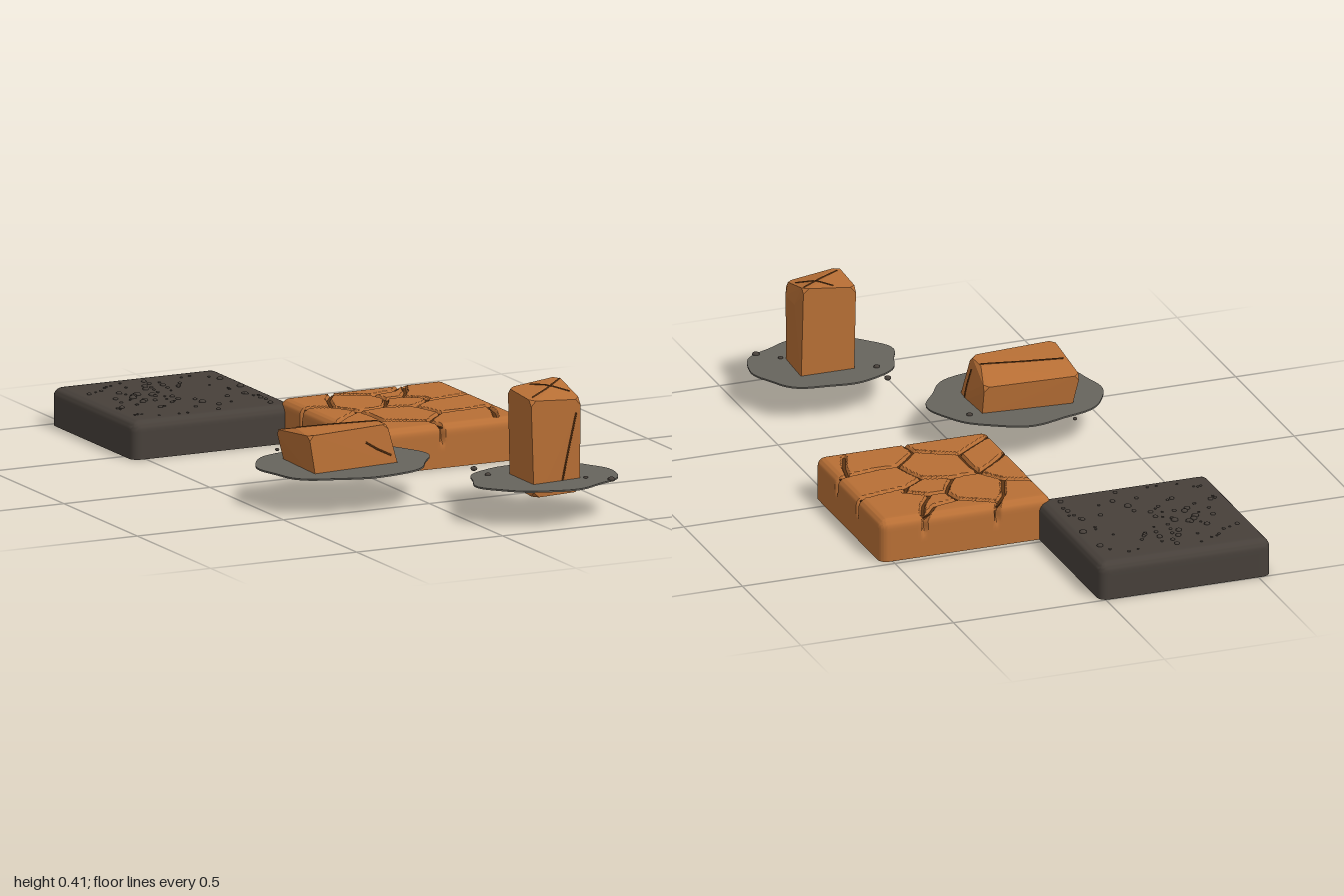
import * as THREE from 'three';
import { mergeVertices, toCreasedNormals, mergeGeometries } from 'three/addons/utils/BufferGeometryUtils.js';
import { ConvexGeometry } from 'three/addons/geometries/ConvexGeometry.js';

const material = (name, color) => {
  const m = new THREE.MeshStandardMaterial({ color });
  m.name = name;
  return m;
};

function seeded(seed) {
  return () => {
    seed = (seed * 16807) % 2147483647;
    return seed / 2147483647;
  };
}

const V = (p) => new THREE.Vector3(...p);
const SIZE = 0.563;
const RADIUS = 0.028;

// Distance from a point to a segment in the ground plane
function segmentDistance(x, z, [ax, az], [bx, bz]) {
  const dx = bx - ax, dz = bz - az;
  const t = THREE.MathUtils.clamp(((x - ax) * dx + (z - az) * dz) / (dx * dx + dz * dz), 0, 1);
  return Math.hypot(x - ax - dx * t, z - az - dz * t);
}

// Square slab, rounded except underneath, with V grooves along the given segments
function slabGeometry(height, segments, grooves = []) {
  let g = new THREE.BoxGeometry(SIZE, height, SIZE, segments, 14, segments);
  g.translate(0, height / 2, 0);
  g.deleteAttribute('normal');
  g.deleteAttribute('uv');
  g.clearGroups();
  g = mergeVertices(g, 1e-5);
  const pos = g.attributes.position;
  const p = new THREE.Vector3(), core = new THREE.Vector3(), n = new THREE.Vector3();
  const inner = SIZE / 2 - RADIUS;
  for (let i = 0; i < pos.count; i++) {
    p.fromBufferAttribute(pos, i);
    core.set(THREE.MathUtils.clamp(p.x, -inner, inner), Math.min(p.y, height - RADIUS),
      THREE.MathUtils.clamp(p.z, -inner, inner));
    n.subVectors(p, core);
    const length = Math.min(n.length(), RADIUS);
    n.normalize();
    p.copy(core).addScaledVector(n, length);
    const fade = THREE.MathUtils.smoothstep(p.y, 0.06, 0.1);
    if (fade > 0 && grooves.length) {
      const d = Math.min(...grooves.map(([a, b]) => segmentDistance(p.x, p.z, a, b)));
      p.addScaledVector(n, -0.02 * fade * Math.max(0, 1 - d / 0.009));
    }
    pos.setXYZ(i, p.x, p.y, p.z);
  }
  return toCreasedNormals(g, 0.7);
}

// Crack network on the slab, in hundredths measured from its back left corner
const CRACKS = [
  [[0, 15.5], [9, 19], [14, 26.5], [0, 39]],
  [[9, 19], [13, 8], [18, 0]],
  [[17, 3], [27.5, 9], [29, 15.5], [23, 25.5], [14, 26.5]],
  [[27.5, 9], [36, 7], [42, 0]],
  [[29, 15.5], [34.5, 15.5], [42, 2]],
  [[34.5, 15.5], [41, 20], [39, 23.5], [32, 28.5], [23, 25.5]],
  [[39, 23.5], [56.3, 20]],
  [[32, 28.5], [35.5, 40], [27, 49], [14.5, 42], [14, 26.5]],
  [[35.5, 40], [52.5, 38], [56.3, 38]],
  [[52.5, 38], [48, 53]],
  [[14.5, 42], [0, 53]],
  [[27, 49], [28, 56.3]],
];

function crackSegments() {
  const random = seeded(71);
  const out = [];
  for (const line of CRACKS) {
    const pts = line.map(([x, z]) => [x / 100 - SIZE / 2, z / 100 - SIZE / 2]);
    for (let i = 1; i < pts.length; i++) {
      const a = pts[i - 1], b = pts[i];
      const k = (random() - 0.5) * 0.1;
      const mid = [(a[0] + b[0]) / 2 - (b[1] - a[1]) * k, (a[1] + b[1]) / 2 + (b[0] - a[0]) * k];
      out.push([a, mid], [mid, b]);
    }
  }
  return out;
}

// Thin dark floor inside the grooves, kept clear of the rounded rim
function crackFloor(segments, y) {
  const lim = SIZE / 2 - 0.014;
  const keep = ([x, z]) => [THREE.MathUtils.clamp(x, -lim, lim), THREE.MathUtils.clamp(z, -lim, lim)];
  return mergeGeometries(segments.map(([p, q]) => {
    const a = keep(p), b = keep(q);
    const g = new THREE.BoxGeometry(Math.hypot(b[0] - a[0], b[1] - a[1]) + 0.005, 0.004, 0.009);
    g.rotateY(-Math.atan2(b[1] - a[1], b[0] - a[0]));
    return g.translate((a[0] + b[0]) / 2, y, (a[1] + b[1]) / 2);
  }));
}

// Rough block: eight corners (bottom ring, then top ring), each one bevelled
function blockGeometry(corners, bevel, extra = []) {
  const c = corners.map(V);
  const points = extra.map(V);
  for (let i = 0; i < 8; i++) {
    const ring = i < 4 ? 0 : 4;
    for (const j of [ring + (i + 1) % 4, ring + (i + 3) % 4, (i + 4) % 8]) {
      const step = c[j].clone().sub(c[i]).setLength(bevel);
      points.push(c[i].clone().add(step));
    }
  }
  return new ConvexGeometry(points);
}

// Hairline fissure laid on a block by casting points onto its surface
function fissure(block, points, direction, mat) {
  const dir = V(direction);
  const ray = new THREE.Raycaster();
  const hits = [];
  for (let i = 1; i < points.length; i++) {
    for (let s = 0; s < 6; s++) {
      const p = V(points[i - 1]).lerp(V(points[i]), s / 5);
      ray.set(p.addScaledVector(dir, -1), dir);
      const hit = ray.intersectObject(block)[0];
      if (hit && (s > 0 || i === 1)) hits.push(hit.point);
    }
  }
  const group = new THREE.Group();
  group.name = 'fissure';
  if (hits.length > 2) {
    const curve = new THREE.CatmullRomCurve3(hits);
    group.add(new THREE.Mesh(new THREE.TubeGeometry(curve, 24, 0.003, 5), mat));
  }
  return group;
}

// Thin wavy disc
function puddleGeometry(rx, rz, phase) {
  const pts = [];
  for (let i = 0; i < 72; i++) {
    const a = (i / 72) * Math.PI * 2;
    const k = 0.96 + 0.025 * Math.sin(5 * a + phase) + 0.018 * Math.sin(8 * a + 2 * phase);
    pts.push(new THREE.Vector2(Math.cos(a) * rx * k, Math.sin(a) * rz * k));
  }
  const g = new THREE.ExtrudeGeometry(new THREE.Shape(pts), { depth: 0.005, bevelEnabled: false });
  return g.rotateX(-Math.PI / 2);
}

export function createModel() {
  const model = new THREE.Group();
  const clay = material('orange clay', 0xb86f35);
  const seam = material('dark brown crack', 0x5c3413);
  const basalt = material('dark basalt', 0x47403a);
  const ash = material('grey ash', 0x66645d);

  const add = (name, geometry, mat, x = 0, y = 0, z = 0) => {
    const mesh = new THREE.Mesh(geometry, mat);
    mesh.name = name;
    mesh.position.set(x, y, z);
    model.add(mesh);
    return mesh;
  };
  const pebble = (x, y, z, r) => {
    const g = new THREE.SphereGeometry(r, 8, 6);
    return g.scale(1, 0.65, 1).translate(x, y, z);
  };

  // Cracked clay slab
  const segments = crackSegments();
  add('crackedSlab', slabGeometry(0.136, 112, segments), clay, 0.258, 0, -0.2);
  add('slabCracks', crackFloor(segments, 0.124), seam, 0.258, 0, -0.2);

  // Basalt slab with scattered grit
  add('basaltSlab', slabGeometry(0.119, 56), basalt, -0.262, 0, -0.718);
  const random = seeded(2024);
  const grit = [];
  for (let i = 0; i < 80; i++) {
    const r = 0.004 + 0.008 * random() ** 2;
    grit.push(pebble((random() - 0.5) * 0.48, 0.12, (random() - 0.5) * 0.48, r));
  }
  add('basaltGrit', mergeGeometries(grit), basalt, -0.262, 0, -0.718);

  // Ash patches with a few loose pebbles
  add('widePatch', puddleGeometry(0.286, 0.24, 1.2), ash, -0.214, 0.115, 0.337);
  add('smallPatch', puddleGeometry(0.243, 0.2, 3.4), ash, 0.24, 0.115, 0.798);
  const loose = [[-0.32, 0.1, 0.007], [-0.03, 0.245, 0.01], [0.1, 0.605, 0.011],
    [0.1, 0.7, 0.01], [0.41, 0.925, 0.012], [0.35, 0.87, 0.008]];
  add('loosePebbles', mergeGeometries(loose.map(([x, z, r]) => pebble(x, 0.121, z, r))), basalt);

  // Low lying block
  const low = add('lowBlock', blockGeometry([
    [-0.355, 0.1, 0.222], [-0.07, 0.095, 0.245], [-0.062, 0.095, 0.42], [-0.362, 0.097, 0.45],
    [-0.378, 0.213, 0.208], [-0.075, 0.207, 0.235], [-0.1, 0.242, 0.412], [-0.382, 0.238, 0.442],
  ], 0.016, [[-0.36, 0.236, 0.31], [-0.1, 0.238, 0.33]]), clay);
  model.add(fissure(low, [[-0.36, 0, 0.305], [-0.24, 0, 0.32], [-0.1, 0, 0.345]], [0, -1, 0], seam));
  model.add(fissure(low, [[-0.18, 0.195, 0], [-0.14, 0.17, 0], [-0.09, 0.145, 0]], [0, 0, -1], seam));
  model.add(fissure(low, [[0, 0.21, 0.38], [0, 0.16, 0.385], [0, 0.11, 0.38]], [-1, 0, 0], seam));

  // Tall standing block
  const tall = add('tallBlock', blockGeometry([
    [0.168, 0.088, 0.715], [0.342, 0.088, 0.715], [0.335, 0.077, 0.86], [0.168, 0.077, 0.88],
    [0.163, 0.39, 0.712], [0.335, 0.41, 0.712], [0.33, 0.37, 0.875], [0.152, 0.385, 0.892],
  ], 0.018, [[0.347, 0.34, 0.76], [0.345, 0.34, 0.84]]), clay);
  model.add(fissure(tall, [[0.17, 0, 0.86], [0.25, 0, 0.8], [0.33, 0, 0.73]], [0, -1, 0], seam));
  model.add(fissure(tall, [[0.23, 0, 0.73], [0.27, 0, 0.78], [0.32, 0, 0.82]], [0, -1, 0], seam));
  model.add(fissure(tall, [[0.315, 0.33, 0], [0.295, 0.24, 0], [0.27, 0.12, 0]], [0, 0, -1], seam));

  return model;
}
